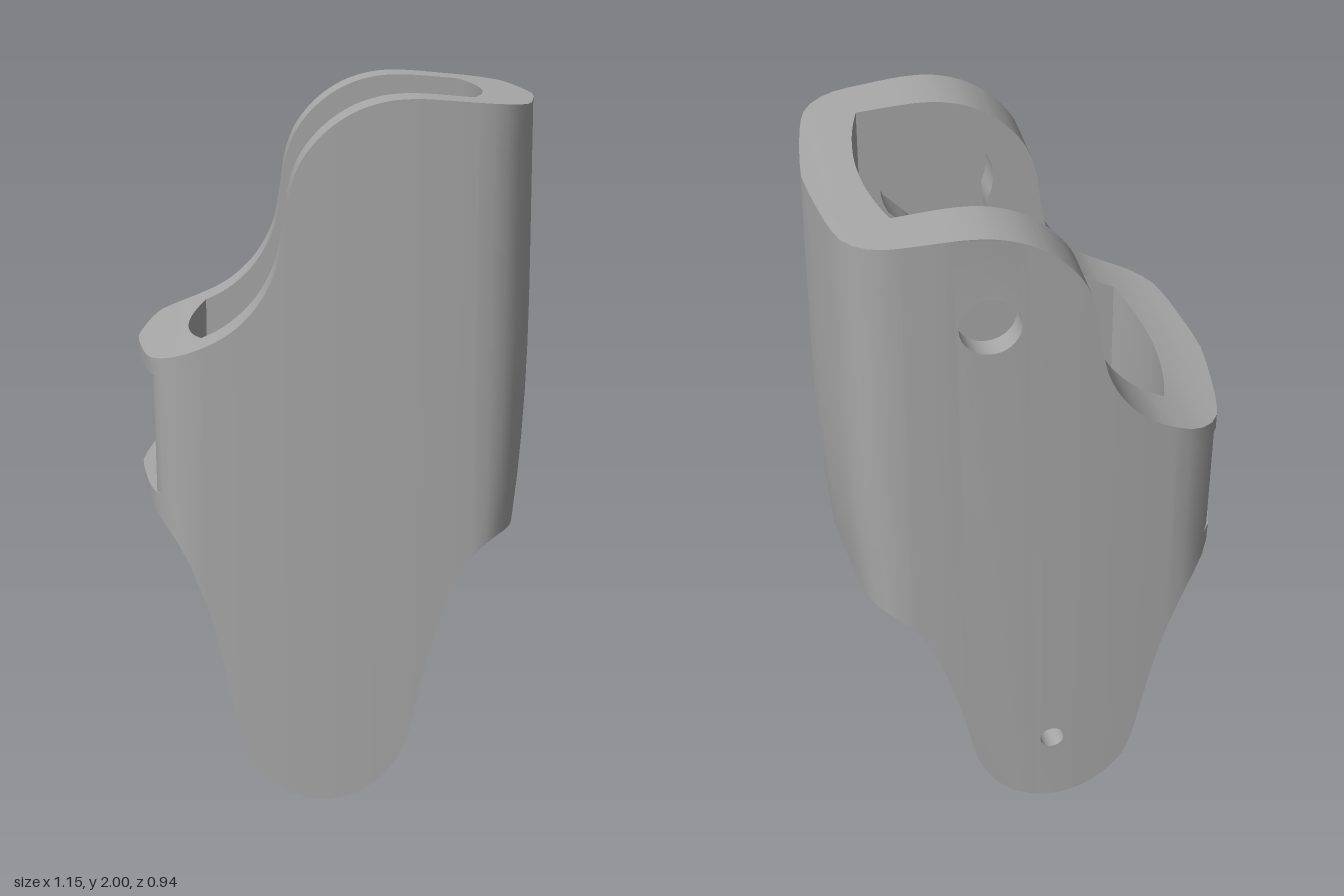
import * as THREE from 'three';
import { toCreasedNormals } from 'three/addons/utils/BufferGeometryUtils.js';

const V = (x, y, z) => new THREE.Vector3(x, y, z);
const INNER = 0.295, FLOOR = 0.4, EDGE = 0.38, BREAK = -0.27;

// Side profile: upper and lower height as functions of x
function heightCurve(pts) {
  const p = new THREE.CatmullRomCurve3(pts.map(([x, y]) => V(x, y, 0))).getPoints(400);
  return (x) => {
    let i = 1;
    while (i < p.length - 1 && p[i].x < x) i++;
    const t = (x - p[i - 1].x) / (p[i].x - p[i - 1].x || 1);
    return THREE.MathUtils.lerp(p[i - 1].y, p[i].y, THREE.MathUtils.clamp(t, 0, 1));
  };
}
const top = heightCurve([[-0.58, 1.265], [-0.48, 1.285], [-0.4, 1.31], [-0.31, 1.355], [-0.23, 1.43], [-0.175, 1.53],
  [-0.153, 1.63], [-0.14, 1.73], [-0.105, 1.83], [-0.04, 1.91], [0.04, 1.965], [0.12, 1.992], [0.2, 2], [0.38, 1.988], [0.58, 1.97]]);
const bottom = heightCurve([[-0.58, 0.87], [-0.52, 0.83], [-0.46, 0.765], [-0.41, 0.68], [-0.37, 0.575], [-0.335, 0.45],
  [-0.305, 0.31], [-0.283, 0.21], [-0.25, 0.12], [-0.19, 0.055], [-0.12, 0.015], [-0.04, 0], [0.04, 0.015], [0.11, 0.055],
  [0.165, 0.12], [0.2, 0.2], [0.23, 0.33], [0.27, 0.48], [0.315, 0.61], [0.36, 0.695], [0.41, 0.745], [0.47, 0.772], [0.58, 0.785]]);
const outerZ = (x) => 0.47 - 0.02 * (x / EDGE) ** 2;
const range = (a, b) => Array.from({ length: b - a + 1 }, (_, i) => (a + i) / 100);

// Collects triangles, each turned to face its hint direction
class Surface {
  constructor() { this.data = []; }
  tri(a, b, c, hint) {
    const n = b.clone().sub(a).cross(c.clone().sub(a));
    if (n.length() < 1e-10) return;
    const order = n.dot(hint) < 0 ? [a, c, b] : [a, b, c];
    order.forEach((p) => this.data.push(p.x, p.y, p.z));
  }
  quad(a, b, c, d, hint) { this.tri(a, b, c, hint); this.tri(a, c, d, hint); }
  sheet(outline, holes, zOf, hint) {
    const all = [outline, ...holes].flat();
    const at = (i) => V(all[i].x, all[i].y, zOf(all[i].x));
    THREE.ShapeUtils.triangulateShape(outline, holes).forEach(([a, b, c]) => this.tri(at(a), at(b), at(c), hint));
  }
  mesh(name, material) {
    const g = new THREE.BufferGeometry();
    g.setAttribute('position', new THREE.Float32BufferAttribute(this.data, 3));
    const m = new THREE.Mesh(toCreasedNormals(g, 0.6), material);
    m.name = name;
    return m;
  }
}

const P2 = (x, y) => new THREE.Vector2(x, y);
function arc(cx, cy, r, from, to, n) {
  return Array.from({ length: n + 1 }, (_, i) => {
    const a = THREE.MathUtils.degToRad(from + (to - from) * i / n);
    return P2(cx + r * Math.cos(a), cy + r * Math.sin(a));
  });
}

// Lever-shaped pocket, open towards -x at the foot
const pocket = [P2(BREAK, bottom(BREAK)), P2(-0.18, 0.17), P2(-0.14, 0.12),
  ...arc(-0.03, 0.235, 0.16, -125, 0, 14), P2(0.12, 0.5), P2(0.1, 1.04), P2(0.18, 1.5), P2(0.203, 1.56), P2(0.25, 1.61),
  ...arc(0.155, 1.74, 0.165, -30, 205, 24), P2(0, 1.6), P2(-0.025, 1.52), P2(-0.245, 1.14), P2(-EDGE, 0.92)];
const backHoles = [
  { x0: 5, x1: 25, pts: arc(0.15, 1.73, 0.085, 0, 360, 28).slice(0, -1) },
  { x0: -8, x1: 2, pts: arc(-0.03, 0.235, 0.036, 0, 360, 18).slice(0, -1) },
];

// One flat cheek: s = +1 front, -1 back
function buildCheek(s, outer, inner, rims) {
  const holes = s < 0 ? backHoles : [];
  const out = V(0, 0, s), inward = V(0, 0, -s);
  const xs = range(-38, 38);
  for (let i = 0; i < xs.length - 1; i++) {
    const a = xs[i], b = xs[i + 1], m = (a + b) / 2;
    const za = s * outerZ(a), zb = s * outerZ(b);
    if (!holes.some((h) => m > h.x0 / 100 && m < h.x1 / 100))
      outer.quad(V(a, bottom(a), za), V(b, bottom(b), zb), V(b, top(b), zb), V(a, top(a), za), out);
    const lowZ = s * (m < BREAK ? FLOOR : INNER);
    rims.quad(V(a, top(a), za), V(b, top(b), zb), V(b, top(b), s * INNER), V(a, top(a), s * INNER), V(0, 1, 0));
    rims.quad(V(a, bottom(a), za), V(b, bottom(b), zb), V(b, bottom(b), lowZ), V(a, bottom(a), lowZ), V(0, -1, 0));
  }
  // Outer strips and bores of the pin holes
  holes.forEach((h) => {
    const r = range(h.x0, h.x1);
    const outline = [...r.map((x) => P2(x, bottom(x))), ...r.reverse().map((x) => P2(x, top(x)))];
    outer.sheet(outline, [h.pts], (x) => s * outerZ(x), out);
    const c = h.pts.reduce((t, p) => t.add(p), P2(0, 0)).divideScalar(h.pts.length);
    h.pts.forEach((p, i) => {
      const q = h.pts[(i + 1) % h.pts.length];
      inner.quad(V(p.x, p.y, s * outerZ(p.x)), V(q.x, q.y, s * outerZ(q.x)), V(q.x, q.y, s * FLOOR), V(p.x, p.y, s * FLOOR),
        V(c.x - p.x, c.y - p.y, 0));
    });
  });
  // Inner face around the pocket, pocket floor and pocket sides
  const face = [...range(-38, 38).map((x) => P2(x, top(x))),
    ...range(-26, 38).reverse().map((x) => P2(x, bottom(x))), ...pocket];
  inner.sheet(face, [], () => s * INNER, inward);
  const foot = range(-38, -28).map((x) => P2(x, bottom(x)));
  inner.sheet([...pocket, ...foot], holes.map((h) => h.pts), () => s * FLOOR, inward);
  const side = [...pocket, foot[0]];
  for (let i = 0; i < side.length - 1; i++) {
    const p = side[i], q = side[i + 1];
    inner.quad(V(p.x, p.y, s * INNER), V(q.x, q.y, s * INNER), V(q.x, q.y, s * FLOOR), V(p.x, p.y, s * FLOOR),
      V(p.y - q.y, q.x - p.x, 0));
  }
}

// Rounded end wall: s = +1 tall side, -1 low side with the recessed window
function buildEnd(s, outer, inner, rims) {
  const quarter = [[EDGE, 0.45], [0.42, 0.443], [0.46, 0.425], [0.495, 0.395], [0.52, 0.355], [0.533, 0.31],
    [0.545, 0.25], [0.556, 0.17], [0.566, 0.09], [0.573, 0]];
  const path = [...quarter, ...quarter.slice(0, -1).reverse().map(([x, z]) => [x, -z])].map(([x, z]) => {
    const k = z / 0.45;
    return { x: s * x, z, xi: s * (EDGE + 0.045 * (1 - k * k)), zi: INNER * k };
  });
  const point = (x, y, z) => {
    const w = THREE.MathUtils.clamp((Math.abs(x) - 0.4) / 0.15, 0, 1);
    const t = Math.max(0, (1.5 - y) / 0.72) ** 2.5;
    return V(x - s * w * t * (s > 0 ? 0.037 : 0.012), y, z);
  };
  const column = (p) => {
    const y0 = bottom(p.x), y1 = top(p.x), cut = Math.max(p.x, -0.515);
    if (s < 0) return [[p.x, y0], [p.x, 0.89], [cut, 0.89], [cut, 1.23], [p.x, 1.23], [p.x, y1]].map(([x, y]) => point(x, y, p.z));
    return Array.from({ length: 11 }, (_, i) => point(p.x, y0 + (y1 - y0) * i / 10, p.z));
  };
  const STEPS = 6;
  for (let i = 0; i < path.length - 1; i++) {
    const p = path[i], q = path[i + 1], cp = column(p), cq = column(q);
    for (let j = 0; j < cp.length - 1; j++) {
      const ledge = s < 0 && (j === 1 || j === 3);
      outer.quad(cp[j], cq[j], cq[j + 1], cp[j + 1], ledge ? V(0, j === 1 ? 1 : -1, 0) : V(p.x + q.x, 0, p.z + q.z));
    }
    inner.quad(point(p.xi, bottom(p.xi), p.zi), point(q.xi, bottom(q.xi), q.zi),
      point(q.xi, top(q.xi), q.zi), point(p.xi, top(p.xi), p.zi), V(-s, 0, 0));
    [[top, 1], [bottom, -1]].forEach(([f, dir]) => {
      const at = (c, k) => {
        const x = THREE.MathUtils.lerp(c.x, c.xi, k / STEPS);
        return point(x, f(x), THREE.MathUtils.lerp(c.z, c.zi, k / STEPS));
      };
      for (let k = 0; k < STEPS; k++) rims.quad(at(p, k), at(q, k), at(q, k + 1), at(p, k + 1), V(0, dir, 0));
    });
  }
}

export function createModel() {
  const group = new THREE.Group();
  group.name = 'housing';
  const grey = new THREE.MeshStandardMaterial({ color: 0xa8a8a8, side: THREE.DoubleSide });
  grey.name = 'plain grey';

  const outer = new Surface(), inner = new Surface(), rims = new Surface();
  [1, -1].forEach((s) => {
    buildCheek(s, outer, inner, rims);
    buildEnd(s, outer, inner, rims);
  });
  group.add(outer.mesh('outerShell', grey), inner.mesh('innerWallsAndPockets', grey), rims.mesh('rims', grey));

  // Small stop block hanging from the tall end wall
  const stop = new THREE.Shape([P2(0.3, 0.55), P2(0.37, 0.545), P2(0.4, 0.75), P2(0.44, 0.98), P2(0.375, 0.95), P2(0.3, 0.8)]);
  const block = new THREE.Mesh(new THREE.ExtrudeGeometry(stop, { depth: 0.105, bevelEnabled: false }), grey);
  block.position.z = -0.11;
  block.name = 'stopBlock';
  group.add(block);
  return group;
}
